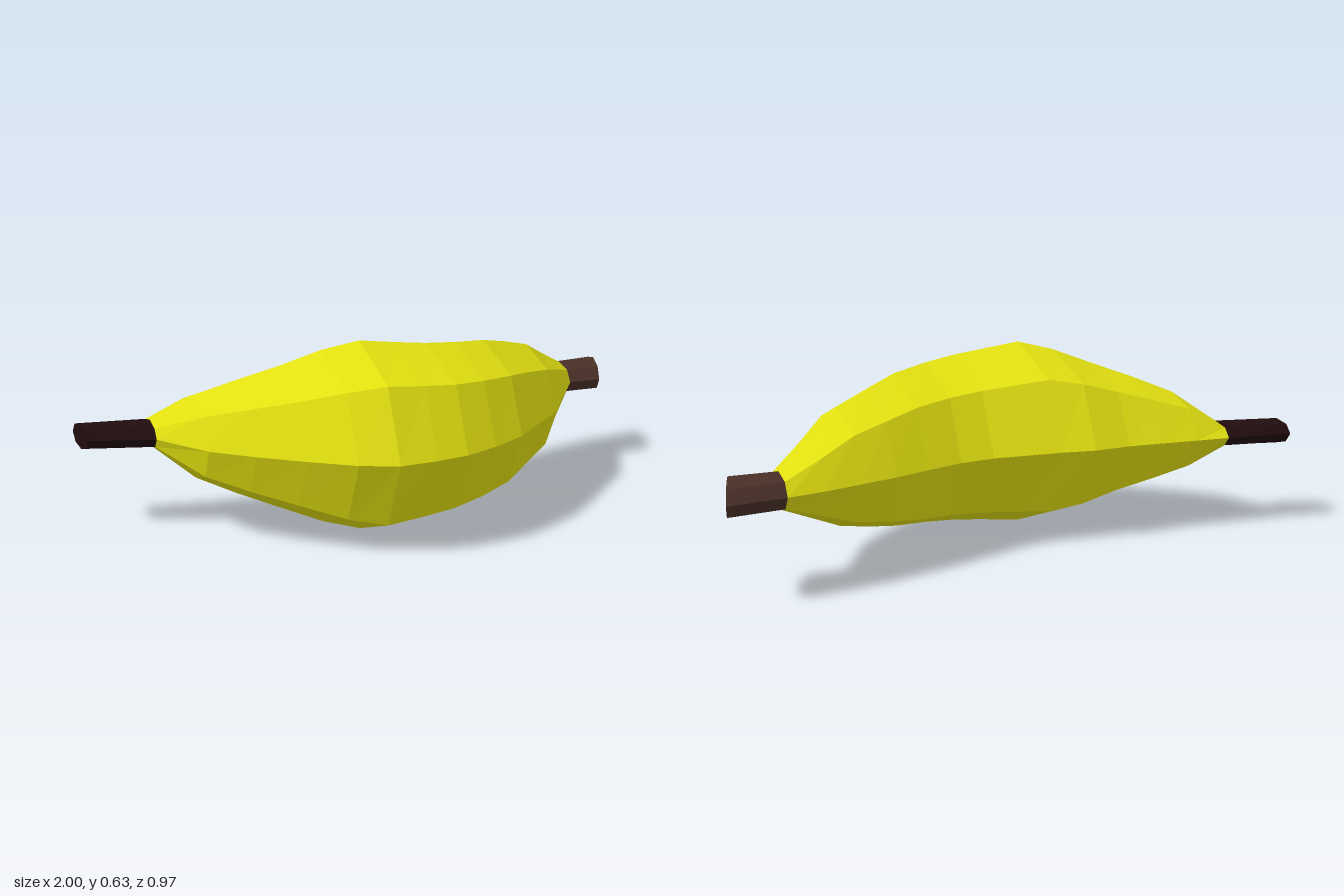
import * as THREE from 'three';

const SIDES = 8;
const MID_Y = 0.313;

// Skin eight-sided elliptical rings; ring = [xFront, zFront, xBack, zBack, halfHeight]
function loft(name, rings, material, capStart, capEnd) {
  const points = rings.map(([xf, zf, xb, zb, h]) => {
    const ring = [];
    for (let j = 0; j < SIDES; j++) {
      const a = (j / SIDES) * Math.PI * 2;
      const t = (1 - Math.cos(a)) / 2;
      ring.push([xf + (xb - xf) * t, MID_Y + h * Math.sin(a), zf + (zb - zf) * t]);
    }
    return ring;
  });
  const pos = [];
  const tri = (a, b, c) => pos.push(...a, ...b, ...c);
  for (let i = 0; i < rings.length - 1; i++) {
    for (let j = 0; j < SIDES; j++) {
      const k = (j + 1) % SIDES;
      const a = points[i][j], b = points[i + 1][j], c = points[i + 1][k], d = points[i][k];
      tri(a, b, c);
      tri(a, c, d);
    }
  }
  const first = points[0], last = points[points.length - 1];
  for (let j = 1; j < SIDES - 1; j++) {
    if (capStart) tri(first[0], first[j], first[j + 1]);
    if (capEnd) tri(last[0], last[j + 1], last[j]);
  }
  const geometry = new THREE.BufferGeometry();
  geometry.setAttribute('position', new THREE.Float32BufferAttribute(pos, 3));
  geometry.computeVertexNormals();
  const mesh = new THREE.Mesh(geometry, material);
  mesh.name = name;
  return mesh;
}

export function createModel() {
  const make = (name, color) => {
    const m = new THREE.MeshStandardMaterial({ color, flatShading: true });
    m.name = name;
    return m;
  };
  const yellow = make('peelYellow', 0xe2e010);
  const brown = make('stemBrown', 0x4a3028);
  const dark = make('tipDarkBrown', 0x200c0e);

  // Curved peel sections: x, front z, back z, half height
  const sections = [
    [-0.77, -0.07, -0.25, 0.043],
    [-0.65, 0.12, -0.245, 0.137],
    [-0.53, 0.23, -0.24, 0.187],
    [-0.4, 0.335, -0.235, 0.235],
    [-0.27, 0.43, -0.25, 0.285],
    [-0.155, 0.48, -0.235, 0.313],
    [-0.03, 0.47, -0.23, 0.297],
    [0.08, 0.45, -0.225, 0.284],
    [0.2, 0.395, -0.245, 0.27],
    [0.33, 0.315, -0.295, 0.253],
    [0.45, 0.2, -0.345, 0.222],
    [0.57, 0.09, -0.385, 0.187],
    [0.69, -0.09, -0.425, 0.122],
    [0.815, -0.265, -0.455, 0.057],
  ];
  const peel = sections.map(([x, zf, zb, h]) => [x, zf, x, zb, h]);

  const group = new THREE.Group();
  group.name = 'banana';
  group.add(loft('peel', peel, yellow, false, false));

  // Slanted stem and blunt tip continue from the end sections
  group.add(loft('stem', [peel[peel.length - 1], [0.937, -0.267, 1, -0.485, 0.058]], brown, false, true));
  group.add(loft('tip', [[-0.975, -0.135, -1, -0.272, 0.043], peel[0]], dark, true, false));
  return group;
}
